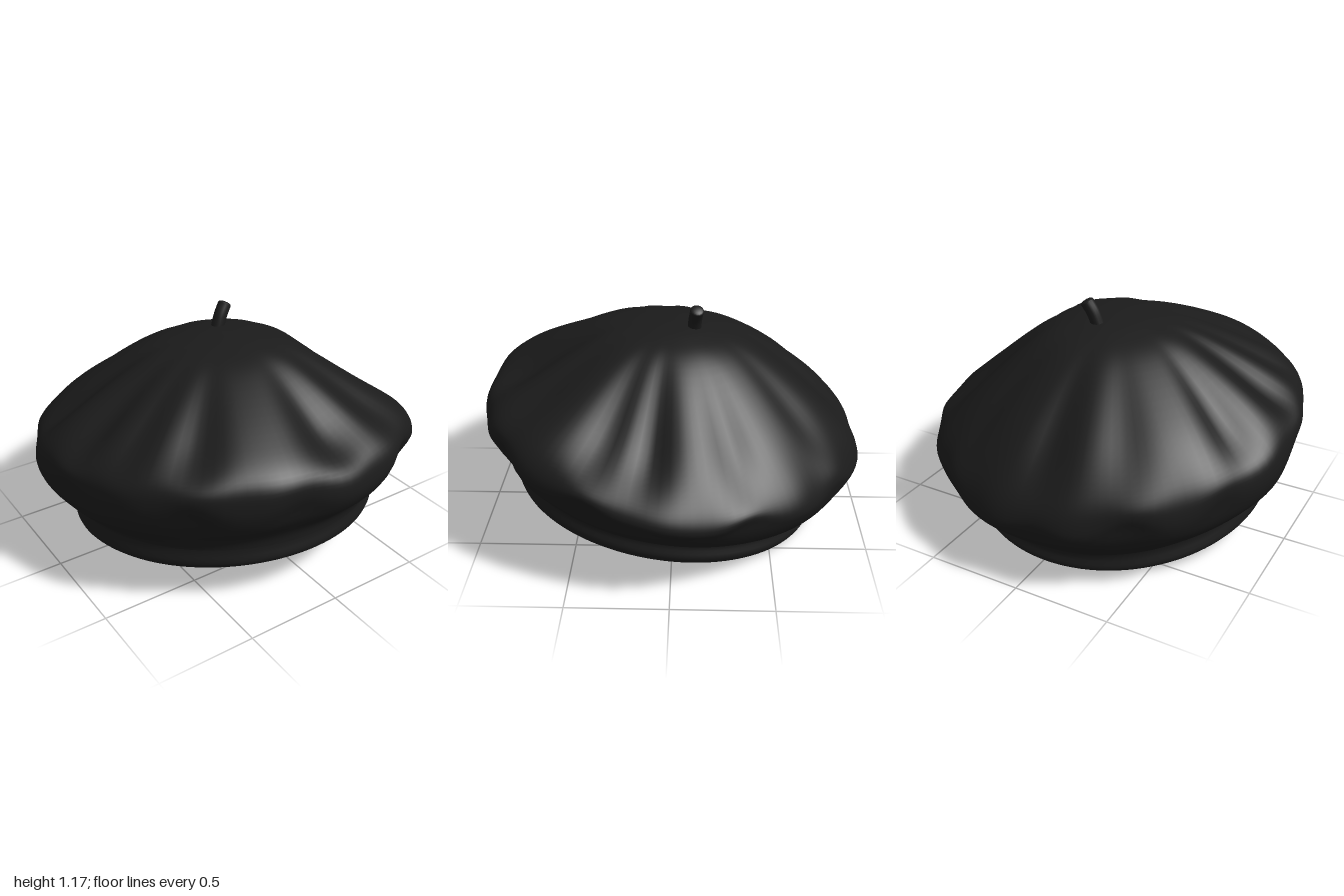
import * as THREE from 'three';
import { mergeVertices } from 'three/addons/utils/BufferGeometryUtils.js';

// Radius and height pairs from the bottom edge to the top, on four sides
const profiles = {
  left: [[.77, .11], [.785, .15], [.78, .22], [.89, .29], [.97, .39], [.995, .46], [.9, .57], [.7, .74], [.4, .97], [.2, 1.045], [0, 1.065]],
  right: [[.8, .11], [.83, .15], [.82, .24], [.9, .32], [.97, .42], [1, .56], [.95, .68], [.76, .82], [.42, .99], [.2, 1.045], [0, 1.065]],
  front: [[.85, .23], [.86, .26], [.85, .32], [.87, .39], [.96, .5], [1, .62], [.95, .75], [.75, .87], [.42, 1.01], [.2, 1.055], [0, 1.065]],
  back: [[.75, .005], [.765, .03], [.76, .1], [.88, .2], [.97, .3], [.99, .38], [.92, .52], [.72, .73], [.42, .95], [.2, 1.035], [0, 1.065]],
};
const curves = {};
for (const side in profiles) {
  curves[side] = new THREE.SplineCurve(profiles[side].map(([r, y]) => new THREE.Vector2(r, y)));
}

// Soft folds: angle in degrees, dent above the rim, tuck below the rim, width in degrees
const folds = [
  [8, .06, .01, 8], [24, .05, .05, 8], [58, .03, .06, 9], [85, .075, 0, 11], [102, 0, .045, 8],
  [132, .04, .045, 8], [153, .03, .01, 6], [172, .055, .04, 8], [200, .06, 0, 8], [211, 0, .05, 7],
  [238, .02, .06, 8], [265, .04, .03, 8], [300, .02, .04, 8], [337, .035, .045, 8],
];
// Uneven rim: angle in degrees, change of radius, change of height, width in degrees
const rimShifts = [[315, -.045, .04, 24], [42, .015, .04, 20], [132, .01, 0, 16]];

const bell = (x, width) => Math.exp(-((x / width) ** 2));
const degreesFrom = (angle, a) => THREE.MathUtils.euclideanModulo(THREE.MathUtils.radToDeg(angle) - a + 180, 360) - 180;

// Point on the hat: the four profiles blended around the axis, then creased
function hatPoint(angle, t) {
  const [l, r, f, b] = ['left', 'right', 'front', 'back'].map((side) => curves[side].getPoint(t));
  const c = Math.cos(angle), s = Math.sin(angle), c2 = Math.cos(2 * angle);
  const blend = (key) => (l[key] + r[key] + f[key] + b[key]) / 4 + c * (l[key] - r[key]) / 2
    + s * (f[key] - b[key]) / 2 + c2 * (l[key] + r[key] - f[key] - b[key]) / 4;
  let radius = blend('x'), y = blend('y');
  const k = t * 10, upper = bell(k - 6.8, 0.95), lower = bell(k - 4.5, 0.85), rim = bell(k - 5.5, 1.7);
  y -= 0.015 * lower;
  for (const [a, dent, tuck, width] of folds) {
    const near = bell(degreesFrom(angle, a), width);
    radius -= near * (0.5 * dent * upper + 0.45 * tuck * lower);
    y += near * (tuck * lower - 0.8 * dent * upper);
  }
  for (const [a, dr, dy, width] of rimShifts) {
    const shift = rim * bell(degreesFrom(angle, a), width);
    radius += dr * shift;
    y += dy * shift;
  }
  radius += 0.006 * Math.sin(17 * angle + 1) * bell(k - 5.2, 1.2);
  return [radius * c, y, radius * s];
}

// Closed ring surface between two places on the profile
function hatSurface(t0, t1, steps) {
  const around = 120, positions = [], index = [];
  for (let i = 0; i < around; i++) {
    for (let j = 0; j <= steps; j++) {
      positions.push(...hatPoint((i / around) * Math.PI * 2, t0 + (t1 - t0) * (j / steps)));
    }
  }
  const at = (i, j) => (i % around) * (steps + 1) + j;
  for (let i = 0; i < around; i++) {
    for (let j = 0; j < steps; j++) {
      index.push(at(i, j), at(i, j + 1), at(i + 1, j));
      if (t1 < 1 || j < steps - 1) index.push(at(i + 1, j), at(i, j + 1), at(i + 1, j + 1));
    }
  }
  const geometry = new THREE.BufferGeometry();
  geometry.setAttribute('position', new THREE.Float32BufferAttribute(positions, 3));
  geometry.setIndex(index);
  const merged = mergeVertices(geometry, 1e-5);
  merged.computeVertexNormals();
  return merged;
}

// Flat fan closing the underside
function undersideGeometry() {
  const around = 120, positions = [0, 0.114, 0.05], index = [];
  for (let i = 0; i < around; i++) {
    positions.push(...hatPoint((i / around) * Math.PI * 2, 0));
    index.push(0, 1 + i, 1 + (i + 1) % around);
  }
  const geometry = new THREE.BufferGeometry();
  geometry.setAttribute('position', new THREE.Float32BufferAttribute(positions, 3));
  geometry.setIndex(index);
  geometry.computeVertexNormals();
  return geometry;
}

export function createModel() {
  const group = new THREE.Group();
  group.name = 'beret';
  const felt = new THREE.MeshStandardMaterial({ color: 0x1b1b1b });
  felt.name = 'black felt';
  const add = (name, geometry, parent = group) => {
    const mesh = new THREE.Mesh(geometry, felt);
    mesh.name = name;
    parent.add(mesh);
    return mesh;
  };

  add('headband', hatSurface(0, 0.2, 8));
  add('crown', hatSurface(0.2, 1, 56));
  add('underside', undersideGeometry());

  // Short bent stalk with a blunt tip
  const stalk = new THREE.Group();
  stalk.name = 'stalk';
  group.add(stalk);
  const path = new THREE.CatmullRomCurve3([
    new THREE.Vector3(0.04, 1.02, -0.1),
    new THREE.Vector3(0.068, 1.1, -0.107),
    new THREE.Vector3(0.1, 1.155, -0.115),
  ]);
  add('stalkStem', new THREE.TubeGeometry(path, 10, 0.035, 14), stalk);
  const tip = add('stalkTip', new THREE.SphereGeometry(0.035, 14, 10), stalk);
  tip.scale.y = 0.35;
  tip.position.copy(path.getPoint(1));
  tip.quaternion.setFromUnitVectors(new THREE.Vector3(0, 1, 0), path.getTangent(1));

  return group;
}
